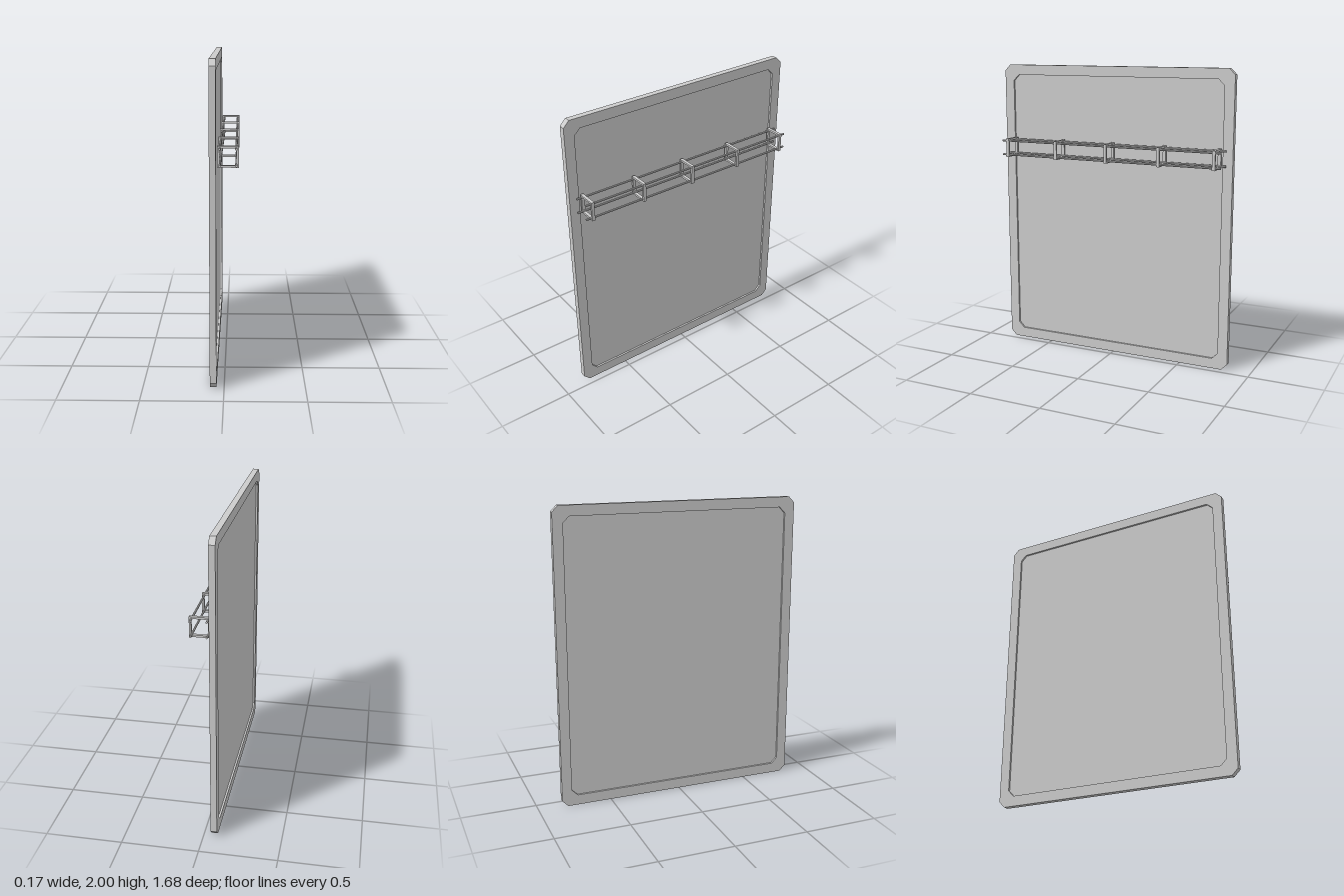
import * as THREE from 'three';

const material = new THREE.MeshStandardMaterial({ color: 0xcccccc, flatShading: true });

// Corner points of a rectangle with cut corners, centred on the origin
function cutRect(w, h, c) {
  const x = w / 2, y = h / 2;
  return [
    [x - c, -y], [x, -y + c], [x, y - c], [x - c, y],
    [-x + c, y], [-x, y - c], [-x, -y + c], [-x + c, -y],
  ].map(([a, b]) => new THREE.Vector2(a, b));
}

// Upright slab facing along x, centred at the given x
function slab(name, shape, thickness, x) {
  const geo = new THREE.ExtrudeGeometry(shape, { depth: thickness, bevelEnabled: false });
  geo.translate(0, 0, -thickness / 2).rotateY(Math.PI / 2);
  const mesh = new THREE.Mesh(geo, material);
  mesh.name = name;
  mesh.position.set(x, 1, 0);
  return mesh;
}

export function createModel() {
  const model = new THREE.Group();
  model.name = 'panelWithTruss';

  // Board: raised rim around a thin panel, recessed on both sides
  const boardX = -0.067;
  const rim = new THREE.Shape(cutRect(1.68, 2, 0.04));
  rim.holes.push(new THREE.Path(cutRect(1.544, 1.862, 0.04).reverse()));
  model.add(slab('boardRim', rim, 0.04, boardX));
  model.add(slab('boardPanel', new THREE.Shape(cutRect(1.544, 1.862, 0.04)), 0.014, boardX));

  // Truss running along z in front of the board
  const truss = new THREE.Group();
  truss.name = 'truss';
  truss.position.set(0.0225, 1.43, 0);
  model.add(truss);

  // Four long rods
  const rodGeo = new THREE.CylinderGeometry(0.007, 0.007, 1.6, 8).rotateX(Math.PI / 2);
  for (const sx of [-1, 1]) {
    for (const sy of [-1, 1]) {
      const rod = new THREE.Mesh(rodGeo, material);
      rod.name = 'trussRod';
      rod.position.set(sx * 0.049, sy * 0.049, 0);
      truss.add(rod);
    }
  }

  // Five square frames holding the rods
  const outer = 0.128, bar = 0.013, width = 0.021;
  const barGeo = new THREE.BoxGeometry(bar, outer, width);
  const crossGeo = new THREE.BoxGeometry(outer - 2 * bar, bar, width);
  for (let i = -2; i <= 2; i++) {
    const frame = new THREE.Group();
    frame.name = 'trussFrame';
    frame.position.z = i * 0.3775;
    for (const s of [-1, 1]) {
      const post = new THREE.Mesh(barGeo, material);
      post.name = 'framePost';
      post.position.x = s * (outer - bar) / 2;
      const cross = new THREE.Mesh(crossGeo, material);
      cross.name = 'frameCrossbar';
      cross.position.y = s * (outer - bar) / 2;
      frame.add(post, cross);
    }
    truss.add(frame);
  }
  return model;
}
